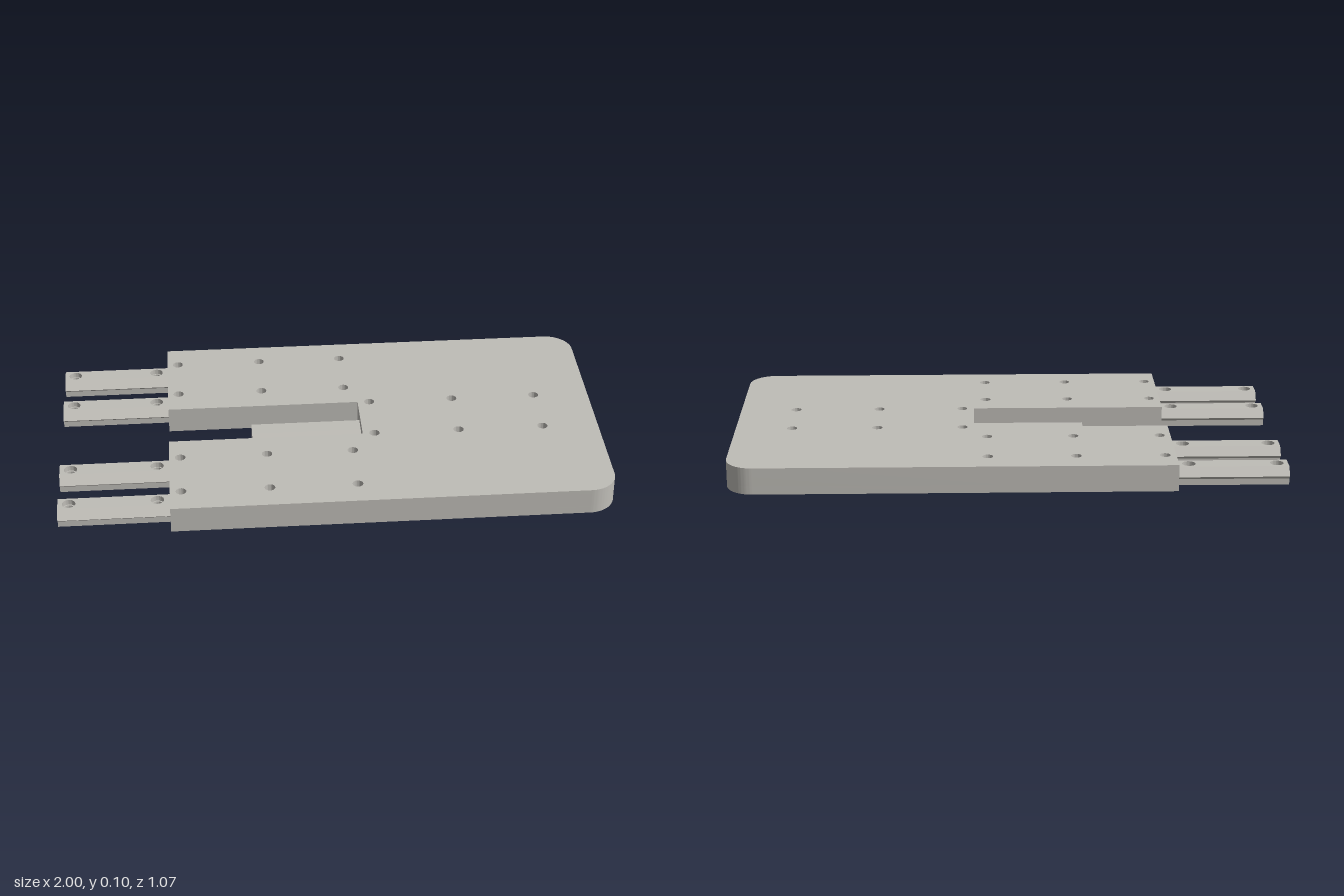
import * as THREE from 'three';
import { toCreasedNormals } from 'three/addons/utils/BufferGeometryUtils.js';

const steel = new THREE.MeshStandardMaterial({ color: 0xbfbdb7 });
steel.name = 'grey steel';

// Slab standing on y0: an outline in x/z with round vertical holes
function slab(shape, holes, radius, y0, height) {
  shape = shape.clone();
  for (const [x, z] of holes) {
    const hole = new THREE.Path();
    hole.absarc(x, -z, radius, 0, Math.PI * 2, true);
    shape.holes.push(hole);
  }
  const geo = new THREE.ExtrudeGeometry(shape, { depth: height, bevelEnabled: false, curveSegments: 20 });
  geo.rotateX(-Math.PI / 2).translate(0, y0, 0);
  return toCreasedNormals(geo, 0.6);
}

function mesh(geo, name) {
  const m = new THREE.Mesh(geo, steel);
  m.name = name;
  return m;
}

// Guide rail along x: a bored core with an undercut flank on each side
function rail(name, x0, x1, z, holeXs) {
  const group = new THREE.Group();
  group.name = name;
  const core = new THREE.Shape([[x0, -0.032], [x1, -0.032], [x1, 0.032], [x0, 0.032]]
    .map(p => new THREE.Vector2(...p)));
  const holes = holeXs.map(x => [x, 0]);
  group.add(mesh(slab(core, holes, 0.019, 0, 0.045), 'railCore'));
  group.add(mesh(slab(core, holes, 0.024, 0.045, 0.02), 'railTop'));
  for (const s of [-1, 1]) {
    const flank = new THREE.Shape([[0.032, 0], [0.046, 0], [0.046, 0.023], [0.06, 0.035], [0.032, 0.065]]
      .map(([w, y]) => new THREE.Vector2(s * w, y)));
    const geo = new THREE.ExtrudeGeometry(flank, { depth: x1 - x0, bevelEnabled: false });
    geo.rotateY(Math.PI / 2).translate(x0, 0, 0);
    group.add(mesh(geo, 'railFlank'));
  }
  group.position.z = z;
  return group;
}

export function createModel() {
  const model = new THREE.Group();
  model.name = 'slidingPlate';

  // Plate outline: slot in the left edge, rounded corners on the right
  const w = 0.533, slot = 0.108, r = 0.1;
  const outline = new THREE.Shape();
  outline.moveTo(-0.6, -w);
  outline.lineTo(1 - r, -w);
  outline.absarc(1 - r, -w + r, r, -Math.PI / 2, 0, false);
  outline.lineTo(1, w - r);
  outline.absarc(1 - r, w - r, r, 0, Math.PI / 2, false);
  outline.lineTo(-0.6, w);
  outline.lineTo(-0.6, slot);
  outline.lineTo(0.118, slot);
  outline.lineTo(0.118, -slot);
  outline.lineTo(-0.6, -slot);
  outline.closePath();

  // Screw holes: rows over each rail and a double row behind the slot
  const railZ = [-0.428, -0.215, 0.215, 0.428];
  const holes = [];
  for (const x of [-0.56, -0.243, 0.072]) for (const z of railZ) holes.push([x, z]);
  for (const x of [0.162, 0.477, 0.792]) for (const z of [-0.107, 0.107]) holes.push([x, z]);

  // The holes widen on the underside
  model.add(mesh(slab(outline, holes, 0.03, 0, 0.03), 'plateUnderside'));
  model.add(mesh(slab(outline, holes, 0.019, 0.03, 0.068), 'plateTop'));

  for (const z of railZ) model.add(rail('guideRail', -1, -0.6, z, [-0.96, -0.645]));
  model.add(rail('centreRail', -0.29, 0.118, 0, []));
  return model;
}
